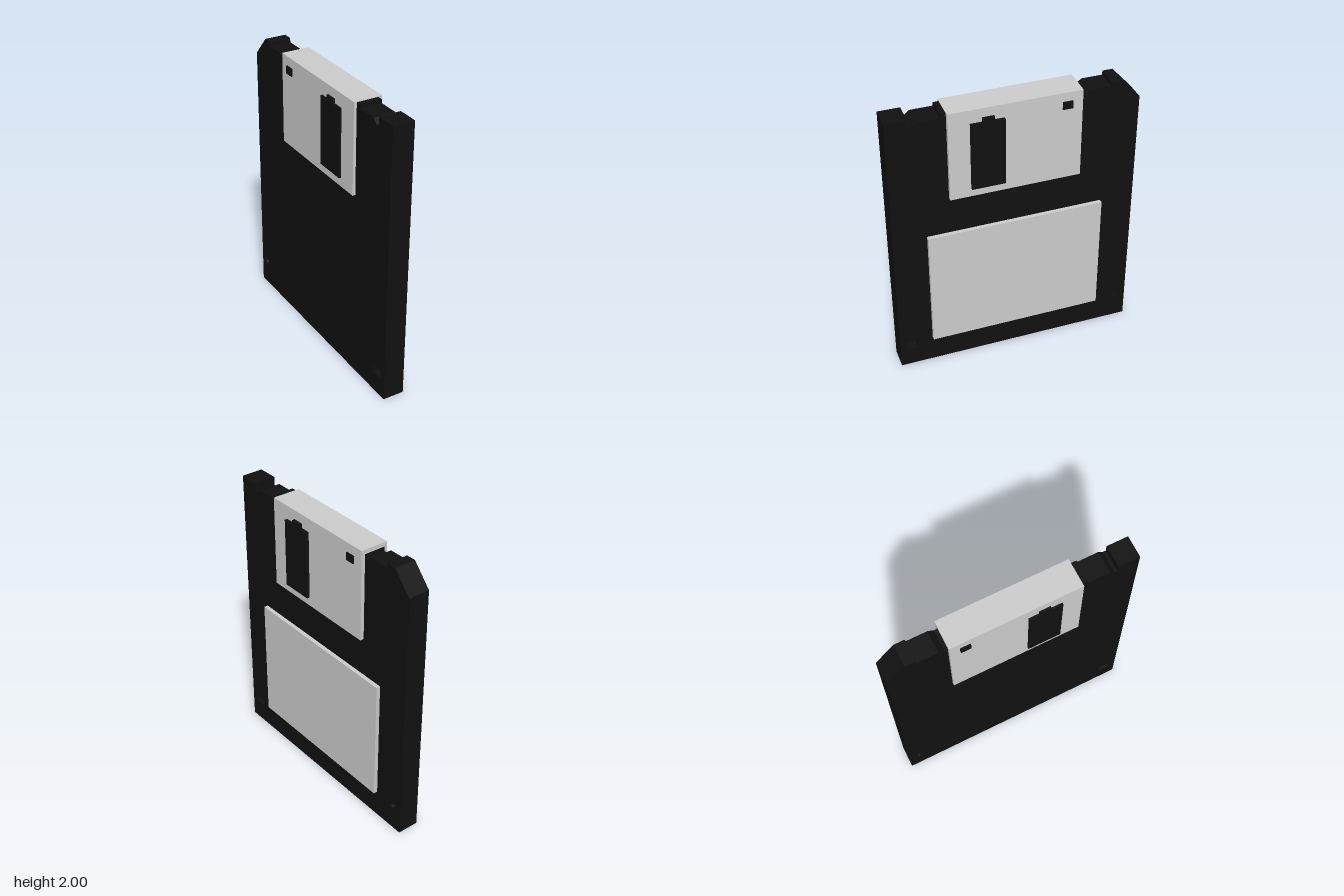
import * as THREE from 'three';

const black = new THREE.MeshStandardMaterial({ color: 0x111111 });
const grey = new THREE.MeshStandardMaterial({ color: 0xcccccc });

// Outline points are [u, y] as seen from the +x side, so u = -z
function outline(points) {
  return new THREE.Shape(points.map(([u, y]) => new THREE.Vector2(u, y)));
}

// Plate standing in the yz plane, filling x0..x1
function plate(name, shape, x0, x1, material) {
  const geometry = new THREE.ExtrudeGeometry(shape, { depth: x1 - x0, bevelEnabled: false, curveSegments: 20 });
  geometry.rotateY(Math.PI / 2).translate(x0, 0, 0);
  const mesh = new THREE.Mesh(geometry, material);
  mesh.name = name;
  return mesh;
}

const rect = (u0, u1, y0, y1) => outline([[u0, y0], [u1, y0], [u1, y1], [u0, y1]]);

export function createModel() {
  const model = new THREE.Group();
  model.name = 'floppyDisk';
  const tilted = new THREE.Group();
  tilted.name = 'disk';

  // Case with notched top edge, cut corner and two through holes
  const caseShape = outline([
    [-0.848, 0], [0.848, 0], [0.848, 1.855], [0.715, 2], [0.645, 2], [0.645, 1.97],
    [0.5, 1.97], [0.46, 1.94], [0.44, 1.94], [0.44, 1.97], [-0.456, 1.97], [-0.456, 1.995],
    [-0.495, 1.995], [-0.495, 1.97], [-0.645, 1.97], [-0.68, 1.94], [-0.7, 1.94], [-0.7, 2], [-0.848, 2],
  ]);
  caseShape.holes.push(rect(-0.806, -0.72, 0.138, 0.203));
  const roundHole = new THREE.Path();
  roundHole.absarc(0.775, 0.19, 0.024, 0, Math.PI * 2, true);
  caseShape.holes.push(roundHole);
  tilted.add(plate('case', caseShape, -0.086, 0.067, black));

  // Paper label on the +x face
  tilted.add(plate('label', rect(-0.615, 0.61, 0.2, 1.085), 0.067, 0.096, grey));

  // Shutter folded over the top edge
  const shutter = new THREE.Group();
  shutter.name = 'shutter';
  shutter.add(
    plate('shutterLeft', rect(-0.456, 0.44, 1.358, 2), 0.067, 0.094, grey),
    plate('shutterRight', rect(-0.456, 0.44, 1.358, 2), -0.106, -0.086, grey),
    plate('shutterTop', rect(-0.456, 0.44, 1.97, 2), -0.086, 0.067, grey),
  );
  tilted.add(shutter);

  // Raised dark window and small mark on both shutter faces
  const windowShape = outline([
    [-0.313, 1.42], [-0.085, 1.42], [-0.085, 1.905], [-0.154, 1.905],
    [-0.154, 1.936], [-0.233, 1.936], [-0.233, 1.905], [-0.313, 1.905],
  ]);
  const mark = rect(0.302, 0.371, 1.883, 1.936);
  tilted.add(
    plate('windowLeft', windowShape, 0.09, 0.114, black),
    plate('windowRight', windowShape, -0.12, -0.1, black),
    plate('markLeft', mark, 0.09, 0.104, black),
    plate('markRight', mark, -0.117, -0.1, black),
  );

  // The disk leans very slightly
  tilted.rotation.z = -0.004;
  tilted.position.x = -0.004;
  model.add(tilted);
  return model;
}
